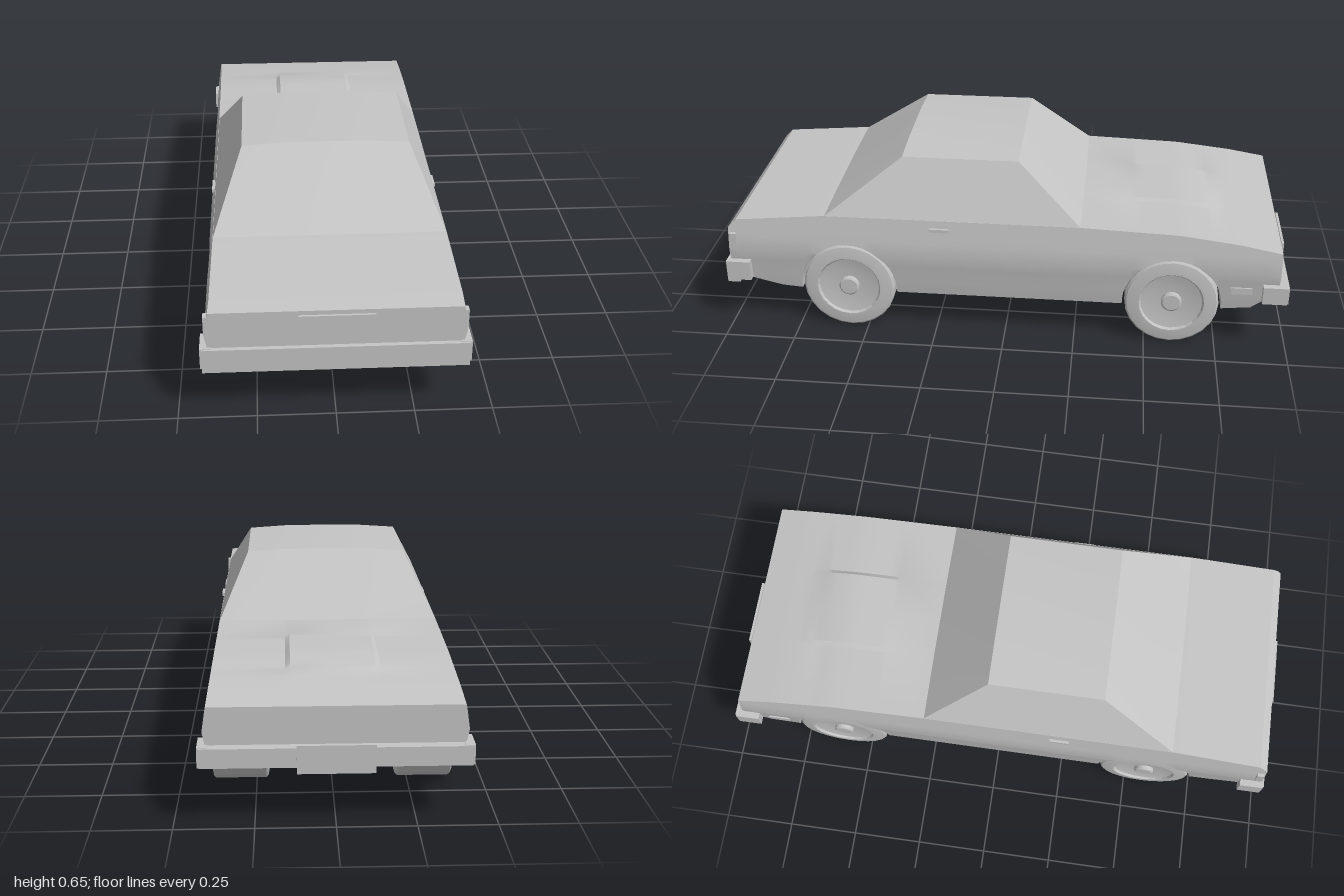
import * as THREE from 'three';
import { toCreasedNormals } from 'three/addons/utils/BufferGeometryUtils.js';

const paint = new THREE.MeshStandardMaterial({ color: 0xc4c4c4 });
paint.name = 'plain grey';

// Piecewise-linear lookup through [key, value] pairs sorted by key
function lerpTable(table, k) {
  if (k <= table[0][0]) return table[0][1];
  for (let i = 1; i < table.length; i++) {
    const [k0, v0] = table[i - 1], [k1, v1] = table[i];
    if (k <= k1) return v0 + (v1 - v0) * (k - k0) / (k1 - k0);
  }
  return table[table.length - 1][1];
}

const FLOOR = [[-0.957, 0.22], [-0.91, 0.195], [-0.866, 0.158], [-0.764, 0.146], [0.735, 0.146], [0.81, 0.153], [0.946, 0.19], [0.985, 0.2]];
const BELT = [[-0.957, 0.38], [-0.82, 0.405], [-0.61, 0.43], [-0.26, 0.442], [0.64, 0.442], [0.955, 0.415], [0.985, 0.385]];
const BULGE = [[-0.78, 0], [-0.73, 0.006], [-0.68, 0.011], [-0.6, 0.013], [-0.45, 0.008], [-0.27, 0]];
const SIDE = [[0.145, 0.385], [0.2, 0.394], [0.26, 0.398], [0.3, 0.406], [0.36, 0.397], [0.442, 0.383]];
const AXLES = [0.562, -0.59], WHEEL_Y = 0.165, ARCH_R = 0.173, WELL_X = 0.18;

function creased(tris, angle) {
  const pos = [];
  for (const [a, b, c] of tris) {
    const n = b.clone().sub(a).cross(c.clone().sub(a));
    if (n.length() < 1e-9) continue;
    for (const p of [a, b, c]) pos.push(p.x, p.y, p.z);
  }
  const g = new THREE.BufferGeometry();
  g.setAttribute('position', new THREE.Float32BufferAttribute(pos, 3));
  return toCreasedNormals(g, angle);
}

// One closed cross-section of the shell, including the wheel wells
function section({ z, open }) {
  const floor = lerpTable(FLOOR, z), top = lerpTable(BELT, z);
  const low = open ?? floor;
  const half = [[0, floor], [WELL_X, floor], [WELL_X, low]];
  for (const y of [low, 0.2, 0.26, 0.3, 0.36, top]) {
    const yy = Math.min(Math.max(y, low), top);
    half.push([lerpTable(SIDE, yy), yy]);
  }
  const raised = top + lerpTable(BULGE, z);
  half.push([0.152, top], [0.137, raised], [0, raised]);
  const mirrored = half.slice(1, -1).reverse().map(([x, y]) => [-x, y]);
  return [...half, ...mirrored].map(([x, y]) => new THREE.Vector3(x, y, z));
}

function bodyGeometry() {
  const columns = [...FLOOR, ...BELT, ...BULGE].map(([z]) => ({ z }));
  const clear = columns.filter(({ z }) => AXLES.every(c => Math.abs(z - c) > ARCH_R));
  for (const c of AXLES) {
    const n = 18;
    clear.push({ z: c + ARCH_R + 1e-5 });
    for (let i = 0; i <= n; i++) {
      const t = Math.PI * i / n;
      clear.push({ z: c + ARCH_R * Math.cos(t), open: WHEEL_Y + ARCH_R * Math.sin(t) });
    }
    clear.push({ z: c - ARCH_R - 1e-5 });
  }
  clear.sort((a, b) => b.z - a.z);
  const rings = clear.map(section), tris = [];
  const n = rings[0].length;
  for (let i = 0; i + 1 < rings.length; i++) {
    for (let j = 0; j < n; j++) {
      const k = (j + 1) % n;
      const a = rings[i][j], b = rings[i][k], c = rings[i + 1][j], d = rings[i + 1][k];
      tris.push([a, c, b], [b, c, d]);
    }
  }
  // Tail and nose panels
  const tail = rings[0], nose = rings[rings.length - 1];
  const tc = new THREE.Vector3(0, 0.3, tail[0].z), nc = new THREE.Vector3(0, 0.3, nose[0].z);
  for (let j = 0; j < n; j++) {
    const k = (j + 1) % n;
    tris.push([tc, tail[j], tail[k]], [nc, nose[k], nose[j]]);
  }
  return creased(tris, 0.5);
}

// Cabin: base and roof loops with a gently crowned roof
function cabinGeometry() {
  const row = (x, y, crown, z) => [-x, -0.13, 0.13, x].map((px, i) =>
    new THREE.Vector3(px, y + (i % 3 ? crown : 0), z));
  const rows = [
    row(0.383, 0.44, 0.002, 0.638), row(0.285, 0.638, 0.01, 0.368),
    row(0.285, 0.638, 0.01, -0.04), row(0.383, 0.44, 0.002, -0.265),
  ];
  const tris = [];
  const quad = (a, b, c, d) => tris.push([a, b, c], [a, c, d]);
  for (let i = 0; i < 3; i++) {
    for (let j = 0; j < 3; j++) quad(rows[i][j], rows[i][j + 1], rows[i + 1][j + 1], rows[i + 1][j]);
  }
  quad(rows[0][3], rows[3][3], rows[2][3], rows[1][3]);
  quad(rows[3][0], rows[0][0], rows[1][0], rows[2][0]);
  return creased(tris, 0.3);
}

// Tyre with dished wheel face and hub on both sides
function wheelGeometry() {
  const face = [[0, 0.096], [0.03, 0.096], [0.036, 0.092], [0.036, 0.08], [0.07, 0.081], [0.108, 0.088], [0.114, 0.096], [0.122, 0.096], [0.158, 0.09], [0.165, 0.084]];
  const profile = [...face.map(([r, h]) => [r, -h]), ...face.slice().reverse()];
  const g = new THREE.LatheGeometry(profile.map(([r, h]) => new THREE.Vector2(r, h)), 24);
  g.rotateZ(Math.PI / 2);
  return toCreasedNormals(g, 0.2);
}

export function createModel() {
  const car = new THREE.Group();
  car.name = 'car';
  const add = (name, geometry, x = 0, y = 0, z = 0) => {
    const m = new THREE.Mesh(geometry, paint);
    m.name = name;
    m.position.set(x, y, z);
    car.add(m);
    return m;
  };
  // Box given by its extents
  const block = (name, x0, x1, y0, y1, z0, z1) =>
    add(name, new THREE.BoxGeometry(x1 - x0, y1 - y0, z1 - z0), (x0 + x1) / 2, (y0 + y1) / 2, (z0 + z1) / 2);

  add('body', bodyGeometry());
  add('cabin', cabinGeometry());

  const wheel = wheelGeometry();
  for (const s of [-1, 1]) {
    const label = s > 0 ? 'left' : 'right';
    AXLES.forEach((z, i) => add(`${label}${i ? 'Hood' : 'Trunk'}Wheel`, wheel, s * 0.301, WHEEL_Y, z));
    const sideBlock = (name, x0, x1, ...rest) =>
      block(label + name, Math.min(s * x0, s * x1), Math.max(s * x0, s * x1), ...rest);
    sideBlock('DoorHandle', 0.38, 0.397, 0.403, 0.415, 0.195, 0.265);
    sideBlock('HoodMarkerLamp', 0.39, 0.402, 0.217, 0.242, -0.866, -0.79);
    sideBlock('TrunkMarkerLamp', 0.39, 0.408, 0.303, 0.367, 0.955, 0.98);
    // Wrap-around bumper ends
    sideBlock('TrunkBumperEnd', 0.385, 0.422, 0.187, 0.26, 0.912, 0.995);
    sideBlock('HoodBumperEnd', 0.39, 0.422, 0.195, 0.26, -0.985, -0.9);
  }

  block('trunkBumper', -0.416, 0.416, 0.174, 0.258, 0.955, 1.0);
  block('hoodBumper', -0.416, 0.416, 0.195, 0.258, -0.99, -0.945);
  block('trunkPlate', -0.12, 0.12, 0.27, 0.37, 0.984, 0.993);
  block('hoodPlate', -0.12, 0.12, 0.178, 0.27, -1.0, -0.991);
  return car;
}
